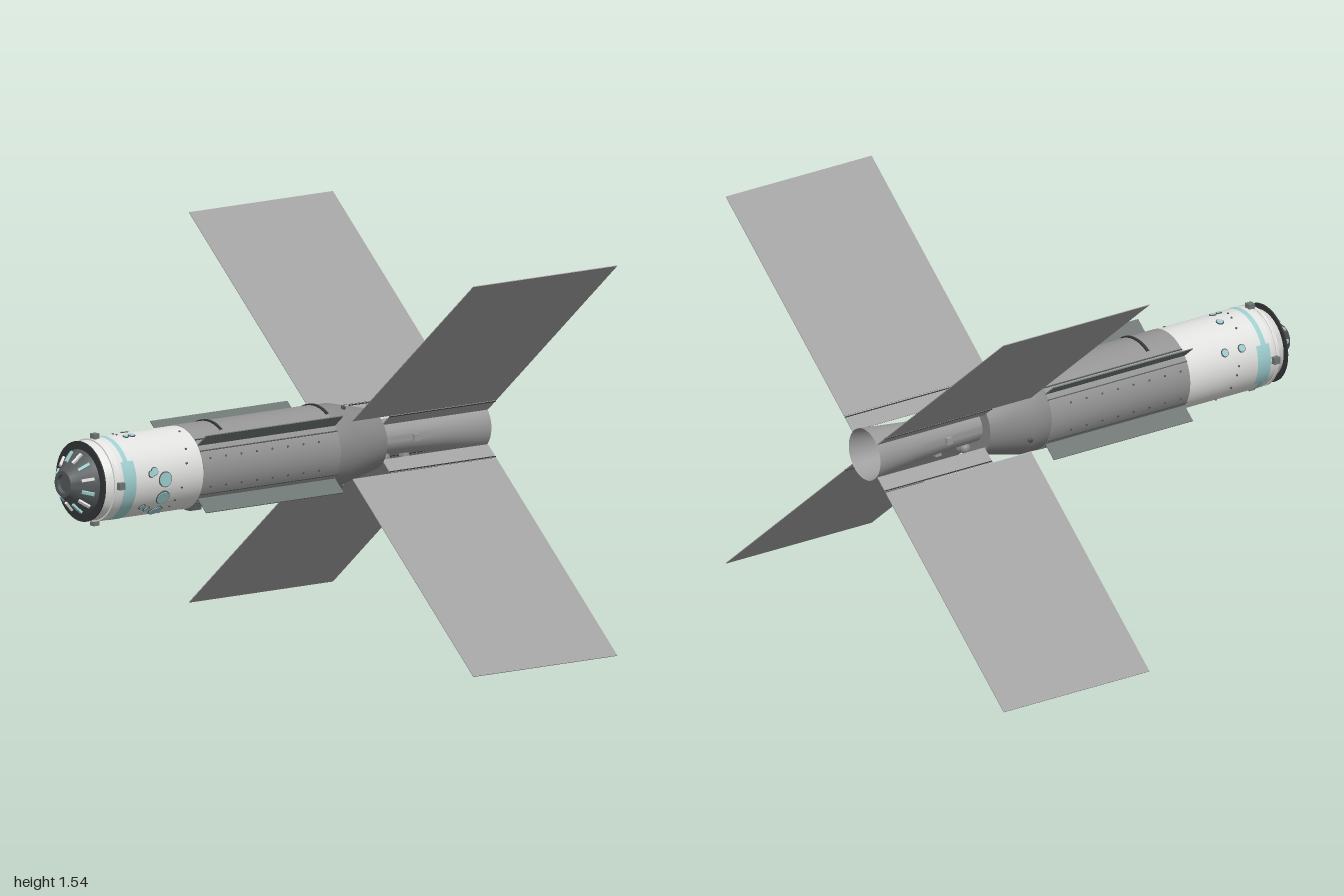
import * as THREE from 'three';
import { toCreasedNormals } from 'three/addons/utils/BufferGeometryUtils.js';

const mat = (name, color, side = THREE.FrontSide) => {
  const m = new THREE.MeshStandardMaterial({ color, side });
  m.name = name;
  return m;
};
const rad = THREE.MathUtils.degToRad;

export function createModel() {
  const model = new THREE.Group();
  model.name = 'spaceStation';
  // everything sits around a long axis along x
  const axis = new THREE.Group();
  axis.name = 'stationAxis';
  axis.position.y = 0.774;
  model.add(axis);

  const white = mat('hullWhite', 0xe2e2e0);
  const midGrey = mat('hullGrey', 0x959595);
  const aftGrey = mat('aftGrey', 0x8a8a8a);
  const tubeGrey = mat('tubeGrey', 0x9c9c9c, THREE.DoubleSide);
  const wingGrey = mat('wingGrey', 0xa2a2a2);
  const finGrey = mat('finGrey', 0x6f7774);
  const dark = mat('darkMetal', 0x55595a);
  const black = mat('railBlack', 0x333536);
  const cyan = mat('paleCyan', 0x9fcfd0);

  // surface of revolution around x; pts are [x, radius], angles run from +y to +z
  const turn = (name, material, pts, from = 0, sweep = 360) => {
    const geo = new THREE.LatheGeometry(
      pts.map(([x, r]) => new THREE.Vector2(r, x)), sweep === 360 ? 48 : 20, rad(from - 90), rad(sweep));
    const mesh = new THREE.Mesh(toCreasedNormals(geo, 0.5), material);
    mesh.name = name;
    mesh.rotation.z = -Math.PI / 2;
    axis.add(mesh);
    return mesh;
  };
  // set a part on the hull: its own y points outward at the given angle
  const radial = (name, material, geo, x, r, angle, tilt = 0) => {
    const spoke = new THREE.Group();
    spoke.name = name;
    spoke.rotation.x = rad(angle);
    const mesh = new THREE.Mesh(geo, material);
    mesh.name = name;
    mesh.position.set(x, r, 0);
    mesh.rotation.z = tilt;
    spoke.add(mesh);
    axis.add(spoke);
  };
  const box = (x, y, z) => new THREE.BoxGeometry(x, y, z);
  const disc = (r, h) => new THREE.CylinderGeometry(r, r, h, 20);

  // hull sections, nose to tail
  turn('noseCone', dark, [[-0.985, 0], [-0.985, 0.035], [-1, 0.037], [-1, 0.052], [-0.97, 0.075], [-0.935, 0.112], [-0.912, 0.128]]);
  turn('dockingRing', black, [[-0.914, 0.1], [-0.914, 0.158], [-0.908, 0.158], [-0.908, 0.1]]);
  turn('noseShoulder', white, [[-0.91, 0.135], [-0.868, 0.157], [-0.868, 0.163], [-0.855, 0.163], [-0.855, 0.16], [-0.84, 0.163]]);
  turn('forwardHull', white, [[-0.84, 0.163], [-0.44, 0.163]]);
  turn('middleHull', midGrey, [[-0.44, 0.163], [-0.44, 0.165], [0.225, 0.165], [0.225, 0.163]]);
  turn('aftHull', aftGrey, [[0.225, 0.163], [0.3, 0.163], [0.485, 0.12], [0.485, 0]]);
  turn('tailTube', tubeGrey, [[0.485, 0.068], [0.62, 0.071], [0.8, 0.082], [0.94, 0.098], [1, 0.105]]);

  // rods on the nose
  for (let i = 0; i < 12; i++) {
    radial('noseRod', i % 2 ? cyan : white, box(0.05, 0.01, 0.012), -0.95, 0.102, i * 30 + 15, rad(45));
  }

  // painted bands
  turn('cyanRing', cyan, [[-0.812, 0.1642], [-0.79, 0.1642]]);
  turn('cyanPatchFront', cyan, [[-0.826, 0.1648], [-0.765, 0.1648]], 58, 103);
  turn('cyanPatchBack', cyan, [[-0.826, 0.1648], [-0.765, 0.1648]], 235, 60);

  // portholes: [x, angle, radius]
  const ports = [[-0.625, 90, 0.028], [-0.625, 117, 0.028], [-0.625, 144, 0.028], [-0.69, 80, 0.012],
    [-0.675, 77, 0.014], [-0.71, 130, 0.013], [-0.68, 136, 0.013], [-0.69, 11, 0.012],
    [-0.672, -14, 0.013], [-0.72, 12, 0.009], [-0.62, 298, 0.014], [-0.7, 298, 0.014]];
  for (const [x, a, r] of ports) {
    radial('portholeRim', dark, disc(r + 0.003, 0.008), x, 0.162, a);
    radial('porthole', cyan, disc(r, 0.008), x, 0.164, a);
  }

  // thruster blocks on the nose and on the tail tube
  for (let a = 0; a < 360; a += 90) {
    radial('noseThruster', finGrey, box(0.027, 0.024, 0.027), -0.845, 0.17, a);
    radial('tailBlock', tubeGrey, box(0.027, 0.02, 0.027), 0.655, 0.079, a);
  }
  // small tanks behind the taper
  for (const a of [160, 180, 200]) {
    radial('tailTank', aftGrey, new THREE.SphereGeometry(0.022, 16, 12), 0.54, 0.082, a);
  }

  // four large wings, their root strips, and four side fins with rails
  for (const a of [50, 130, 230, 310]) {
    radial('wingPanel', wingGrey, box(0.697, 1.021, 0.003), 0.6505, 0.6895, a);
    radial('wingRootStrip', wingGrey, box(0.513, 0.068, 0.003), 0.7425, 0.142, a);
    radial('wingHinge', black, box(0.513, 0.004, 0.007), 0.7425, 0.172, a);
    radial('sideFin', finGrey, box(0.665, 0.078, 0.004), -0.1075, 0.198, a);
    for (const s of [-9, 9]) radial('finRail', dark, box(0.665, 0.006, 0.004), -0.1075, 0.166, a + s);
  }

  // curved handrails over the top and bottom
  for (const x of [-0.295, 0.22]) {
    turn('handrail', black, [[x - 0.006, 0.164], [x - 0.006, 0.17], [x + 0.006, 0.17], [x + 0.006, 0.164]], -31, 62);
  }
  radial('bellyUnit', dark, box(0.055, 0.016, 0.04), -0.37, 0.168, 180);

  // rows of small studs on the hull
  const stud = disc(0.004, 0.006);
  for (const a of [70, 110, 160, 200, 250, 290]) {
    for (let x = -0.4; x < 0.2; x += 0.075) radial('hullStud', dark, stud, x, 0.165, a);
  }
  for (let i = 0; i < 16; i++) {
    radial('hullStud', dark, stud, -0.74 + 0.28 * ((i * 0.618) % 1), 0.164, i * 137.5);
  }
  for (const a of [20, 160, 250]) radial('aftStud', dark, disc(0.009, 0.016), 0.318, 0.162, a);

  return model;
}
